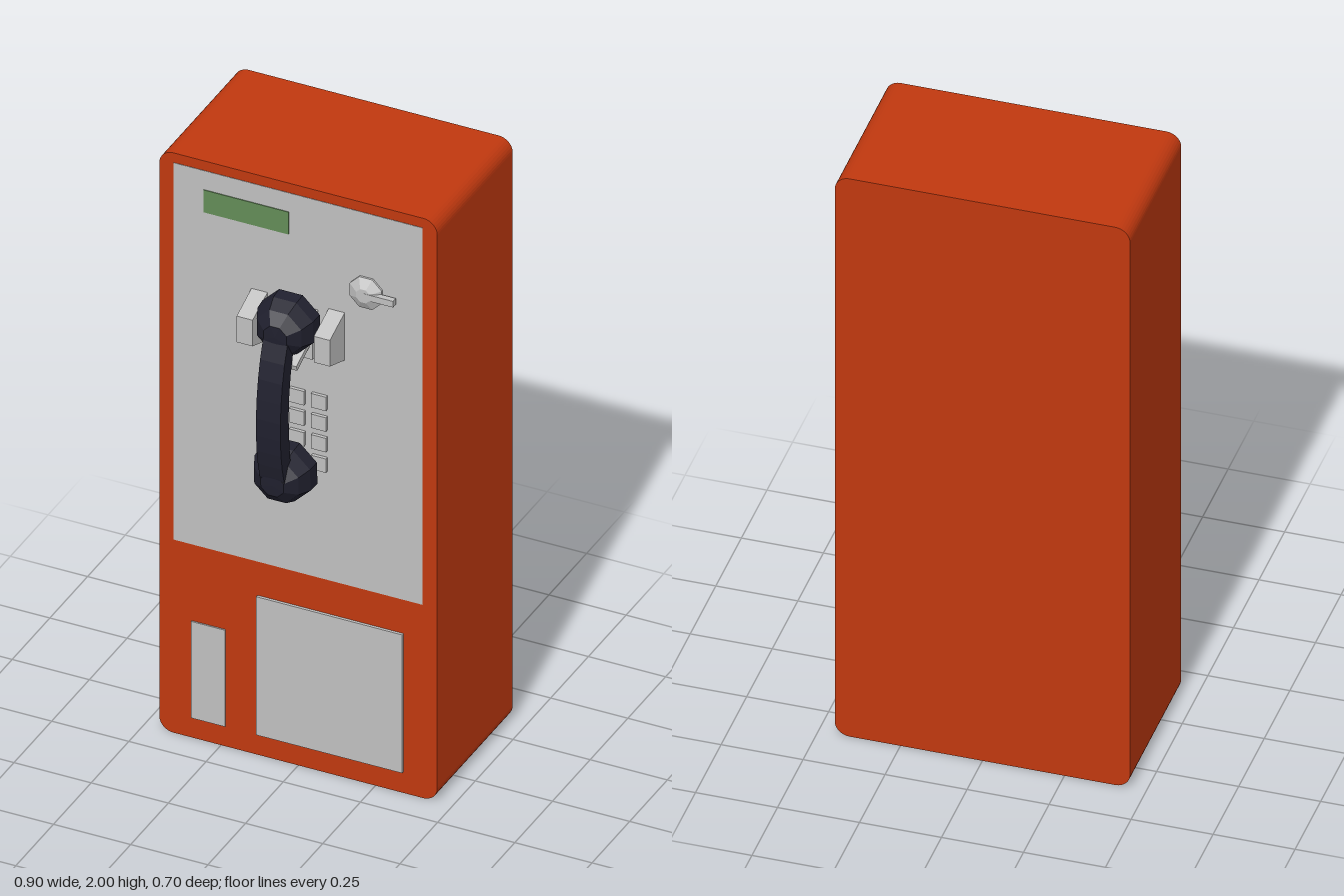
import * as THREE from 'three';

function material(name, color) {
  const m = new THREE.MeshStandardMaterial({ color, flatShading: true });
  m.name = name;
  return m;
}

export function createModel() {
  const group = new THREE.Group();
  group.name = 'payphone';
  const orange = material('orange paint', 0xc0380f);
  const grey = material('grey metal', 0xc0c0c0);
  const green = material('green display', 0x638c57);
  const navy = material('dark navy plastic', 0x20202e);

  const add = (name, geometry, mat, parent = group) => {
    const mesh = new THREE.Mesh(geometry, mat);
    mesh.name = name;
    parent.add(mesh);
    return mesh;
  };
  // Box given by its limits on each axis
  const block = (name, mat, x0, x1, y0, y1, z0, z1, parent) =>
    add(name, new THREE.BoxGeometry(x1 - x0, y1 - y0, z1 - z0), mat, parent)
      .position.set((x0 + x1) / 2, (y0 + y1) / 2, (z0 + z1) / 2);
  // Side profile of [z, y] points, extruded across x and centred
  const sideProfile = (points, width) => {
    const shape = new THREE.Shape(points.map(([z, y]) => new THREE.Vector2(z, y)));
    const g = new THREE.ExtrudeGeometry(shape, { depth: width, bevelEnabled: false });
    g.translate(0, 0, -width / 2);
    g.rotateY(-Math.PI / 2);
    return g;
  };

  // Cabinet with rounded vertical outline
  const w = 0.45, h = 2, r = 0.045;
  const outline = new THREE.Shape();
  outline.absarc(w - r, r, r, -Math.PI / 2, 0);
  outline.absarc(w - r, h - r, r, 0, Math.PI / 2);
  outline.absarc(-w + r, h - r, r, Math.PI / 2, Math.PI);
  outline.absarc(-w + r, r, r, Math.PI, Math.PI * 1.5);
  const body = new THREE.ExtrudeGeometry(outline, { depth: 0.5, bevelEnabled: false, curveSegments: 4 });
  body.translate(0, 0, -0.35);
  add('cabinet', body, orange);

  // Front plates
  block('facePlate', grey, -0.403, 0.403, 0.667, 1.967, 0.149, 0.1515);
  block('display', green, -0.305, -0.03, 1.825, 1.902, 0.15, 0.154);
  block('coinReturn', grey, -0.345, -0.235, 0.07, 0.403, 0.149, 0.155);
  block('coinBoxDoor', grey, -0.132, 0.341, 0.073, 0.55, 0.149, 0.159);

  // Keypad
  const keypad = new THREE.Group();
  keypad.name = 'keypad';
  group.add(keypad);
  for (let row = 0; row < 4; row++)
    for (let col = -1; col <= 1; col++) {
      const x = col * 0.071, y = 1.279 - row * 0.071;
      block('key', grey, x - 0.024, x + 0.024, y - 0.024, y + 0.024, 0.15, 0.162, keypad);
    }

  // Turning knob with its lever
  const knob = new THREE.LatheGeometry([[0.056, 0], [0.056, 0.008], [0.024, 0.026], [0, 0.026]]
    .map(([x, y]) => new THREE.Vector2(x, y)), 8, Math.PI / 8);
  knob.rotateX(Math.PI / 2);
  add('knob', knob, grey).position.set(0.222, 1.695, 0.15);
  block('knobLever', grey, 0.225, 0.32, 1.684, 1.705, 0.158, 0.177);

  // Cradle: side brackets, centre block and hook
  const bracket = sideProfile([[0.15, 1.44], [0.25, 1.475], [0.25, 1.565], [0.15, 1.605]], 0.052);
  for (const side of [-1, 1]) add('cradleBracket', bracket, grey).position.x = side * 0.125;
  block('cradleCentre', grey, -0.065, 0.065, 1.44, 1.59, 0.149, 0.19);
  add('cradleHook', sideProfile([[0.18, 1.485], [0.27, 1.445], [0.275, 1.462], [0.18, 1.505]], 0.11), grey);

  // Handset: bowed grip and two faceted cups
  const handset = new THREE.Group();
  handset.name = 'handset';
  group.add(handset);
  const outer = new THREE.CatmullRomCurve3([[0.285, 1.6], [0.33, 1.46], [0.35, 1.3], [0.342, 1.16], [0.315, 1.05]]
    .map(([z, y]) => new THREE.Vector3(z, y, 0))).getPoints(10);
  const inner = new THREE.CatmullRomCurve3([[0.27, 1.05], [0.284, 1.14], [0.295, 1.3], [0.276, 1.46], [0.235, 1.58]]
    .map(([z, y]) => new THREE.Vector3(z, y, 0))).getPoints(10);
  add('grip', sideProfile([...outer, ...inner].map(p => [p.x, p.y]), 0.079), navy, handset);

  const cup = new THREE.LatheGeometry(
    [[0, 0], [0.1, 0], [0.097, 0.04], [0.078, 0.082], [0.04, 0.11], [0, 0.112]]
      .map(([x, y]) => new THREE.Vector2(x, y)), 8, Math.PI / 8);
  cup.rotateX(Math.PI / 2);
  const earpiece = add('earpiece', cup, navy, handset);
  earpiece.position.set(0, 1.568, 0.195);
  earpiece.rotation.x = 0.04;
  const mouthpiece = add('mouthpiece', cup, navy, handset);
  mouthpiece.position.set(0, 1.07, 0.214);
  mouthpiece.rotation.x = 0.05;

  return group;
}
